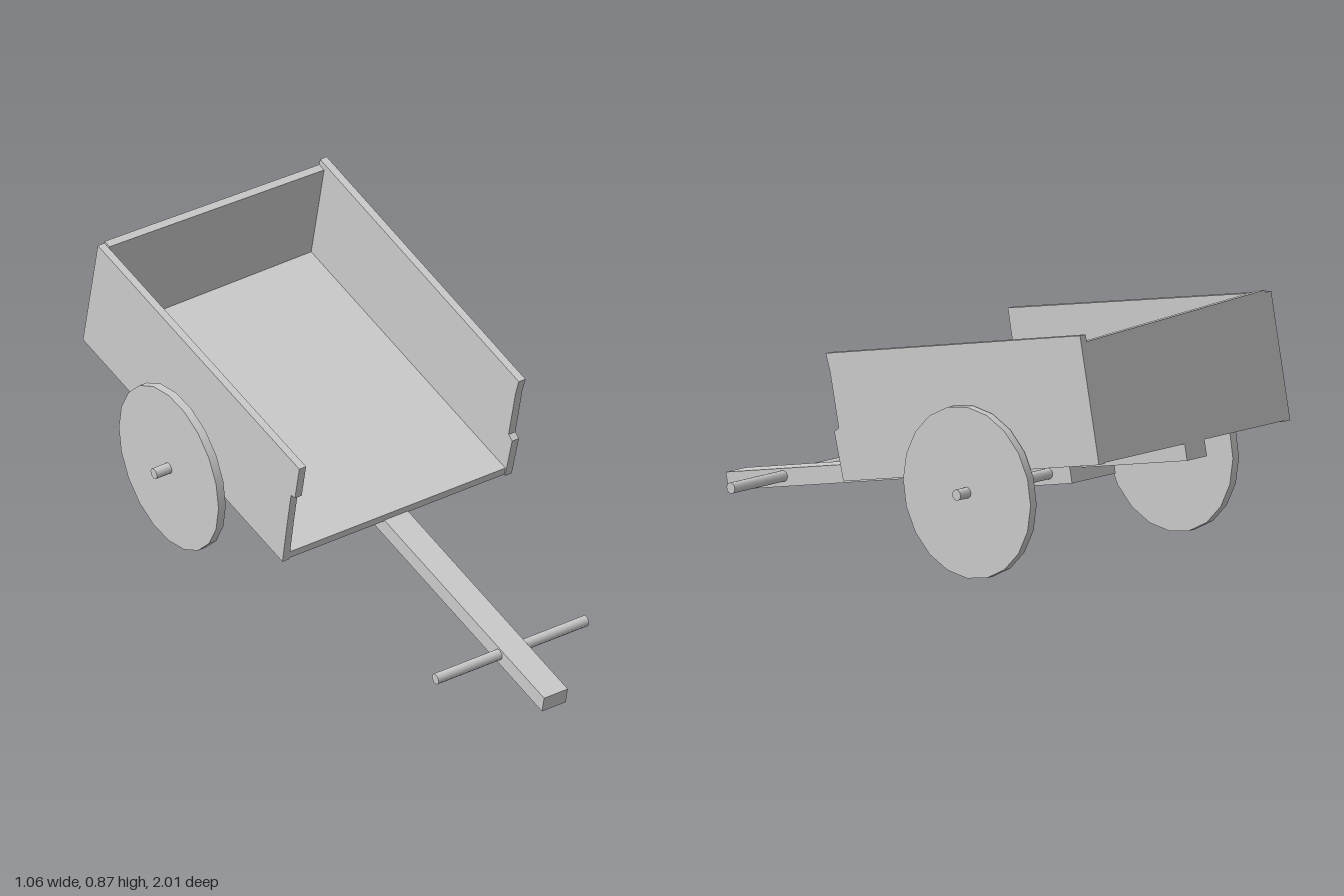
import * as THREE from 'three';

const TILT = 0.201; // the cart rests on its pole tip
const CX = 0.006;   // centre line of the cart

export function createModel() {
  const model = new THREE.Group();
  model.name = 'handCart';
  const cart = new THREE.Group();
  cart.name = 'tiltedCart';
  cart.rotation.x = TILT;
  model.add(cart);
  const mat = new THREE.MeshStandardMaterial({ color: 0xcccccc });

  function add(name, geometry) {
    const mesh = new THREE.Mesh(geometry, mat);
    mesh.name = name;
    cart.add(mesh);
    return mesh;
  }

  // box given by its limits on each axis
  function box(name, [x0, x1], [y0, y1], [z0, z1]) {
    add(name, new THREE.BoxGeometry(x1 - x0, y1 - y0, z1 - z0))
      .position.set((x0 + x1) / 2, (y0 + y1) / 2, (z0 + z1) / 2);
  }

  // round bar or disc lying along x
  function rod(name, x0, x1, y, z, radius, sides) {
    const g = new THREE.CylinderGeometry(radius, radius, x1 - x0, sides);
    g.rotateZ(Math.PI / 2).rotateX(-TILT);
    add(name, g).position.set((x0 + x1) / 2, y, z);
  }

  // flat board from an outline
  function board(outline, depth) {
    const shape = new THREE.Shape(outline.map(([a, b]) => new THREE.Vector2(a, b)));
    return new THREE.ExtrudeGeometry(shape, { depth, bevelEnabled: false });
  }

  // floor and draw pole
  box('floor', [-0.406, 0.423], [0.253, 0.281], [-1.066, 0.062]);
  box('pole', [CX - 0.046, CX + 0.045], [0.199, 0.257], [-1.066, 0.969]);

  // side walls, outlines as [z, y], with worn front edges
  const back = [[-1.068, 0.25], [-1.068, 0.664]];
  const rightEdge = [[0.075, 0.667], [0.076, 0.54], [0.055, 0.535], [0.058, 0.41], [0.064, 0.25]];
  const leftEdge = [[0.061, 0.66], [0.054, 0.6], [0.052, 0.42], [0.074, 0.41], [0.066, 0.25]];
  for (const [name, edge, outer] of [['rightWall', rightEdge, -0.405], ['leftWall', leftEdge, 0.447]]) {
    const g = board([...back, ...edge].reverse(), 0.026);
    g.rotateY(-Math.PI / 2);
    add(name, g).position.x = outer;
  }

  // back wall with a sloping top
  const backWall = board([[-0.406, 0.253], [0.423, 0.253], [0.423, 0.641], [-0.406, 0.672]], 0.028);
  add('backWall', backWall).position.z = -1.068;

  // axle block, axle and disc wheels
  box('axleBlock', [CX - 0.1, CX + 0.1], [0.157, 0.255], [-0.6, -0.405]);
  rod('axle', -0.533, 0.529, 0.193, -0.503, 0.018, 12);
  rod('rightWheel', -0.476, -0.448, 0.193, -0.503, 0.277, 20);
  rod('leftWheel', 0.453, 0.481, 0.193, -0.503, 0.277, 20);

  // crossbar handle
  rod('handle', -0.284, 0.293, 0.233, 0.718, 0.018, 12);

  return model;
}
